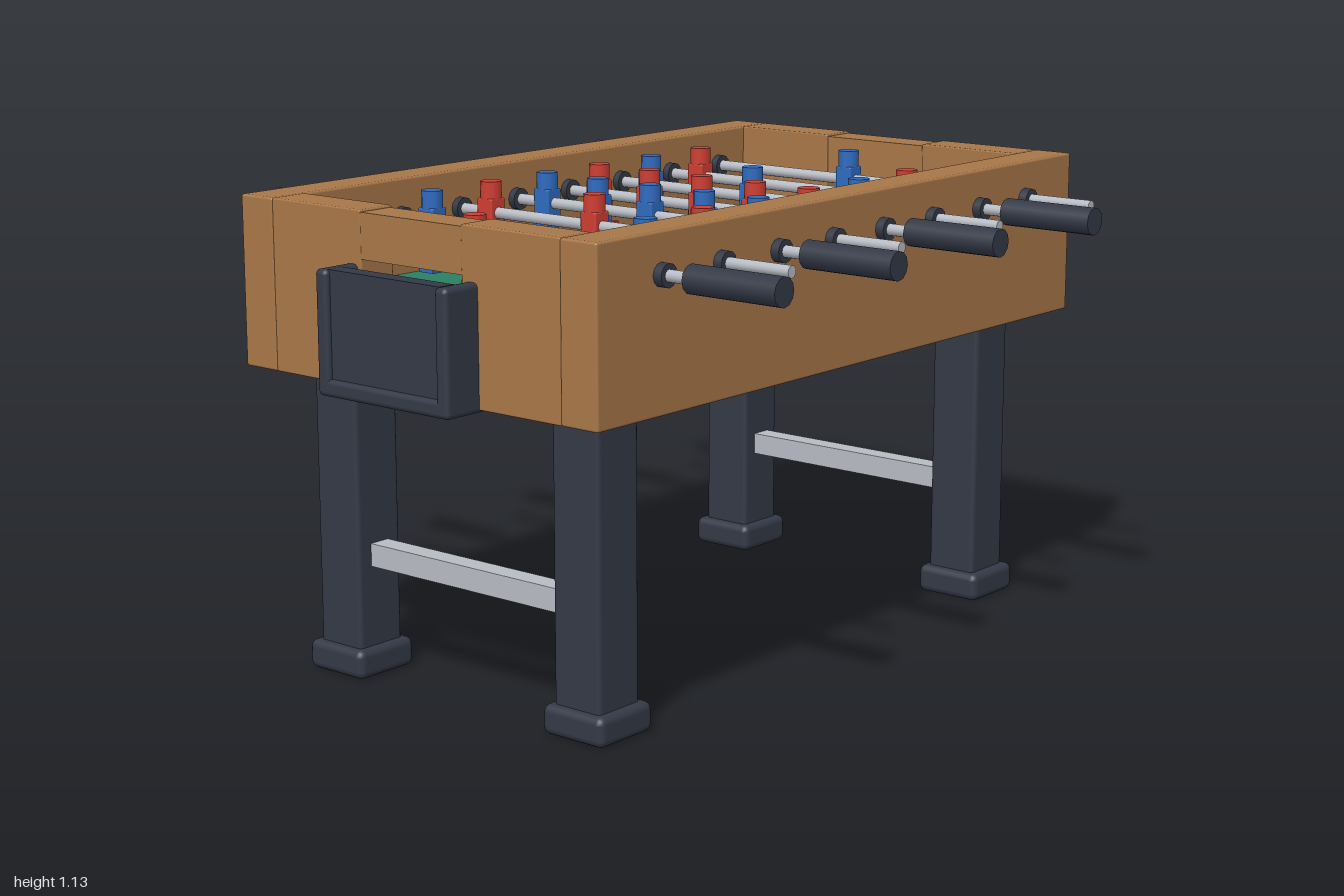
import * as THREE from 'three';
import { RoundedBoxGeometry } from 'three/addons/geometries/RoundedBoxGeometry.js';

const mat = (name, color) => Object.assign(new THREE.MeshStandardMaterial({ color }), { name });

export function createModel() {
  const wood = mat('wood', 0xa87748);
  const dark = mat('dark plastic', 0x333946);
  const steel = mat('steel', 0xb8bcc4);
  const green = mat('pitch green', 0x2c8062);
  const red = mat('team red', 0xd03e32);
  const blue = mat('team blue', 0x2f6bc0);
  const model = new THREE.Group();

  const add = (parent, name, geometry, material, x, y, z) => {
    const mesh = new THREE.Mesh(geometry, material);
    mesh.name = name;
    mesh.position.set(x, y, z);
    parent.add(mesh);
    return mesh;
  };
  // Box given by its limits on each axis, with optional rounded edges
  const box = (parent, name, material, [x0, x1], [y0, y1], [z0, z1], r = 0) => {
    const size = [x1 - x0, y1 - y0, z1 - z0];
    const geometry = r ? new RoundedBoxGeometry(...size, 2, r) : new THREE.BoxGeometry(...size);
    return add(parent, name, geometry, material, (x0 + x1) / 2, (y0 + y1) / 2, (z0 + z1) / 2);
  };
  // Cylinder lying along z
  const bar = (parent, name, material, r, z0, z1) => {
    const geometry = new THREE.CylinderGeometry(r, r, z1 - z0, 12).rotateX(Math.PI / 2);
    return add(parent, name, geometry, material, 0, 0, (z0 + z1) / 2);
  };
  const span = (s, a, b) => (s > 0 ? [a, b] : [-b, -a]);

  // Pitch
  box(model, 'pitch', green, [-0.81, 0.81], [0.815, 0.905], [-0.44, 0.44]);

  // Long side walls
  for (const s of [1, -1]) {
    box(model, 'sideWall', wood, [-0.905, 0.905], [0.735, 1.134], span(s, 0.435, 0.538), 0.006);
  }

  // End walls with goal openings, and the ball trays set into them
  for (const s of [1, -1]) {
    const end = new THREE.Group();
    end.name = 'goalEnd';
    model.add(end);
    for (const t of [1, -1]) {
      box(end, 'endWall', wood, span(s, 0.805, 0.903), [0.735, 1.134], span(t, 0.152, 0.437), 0.004);
      box(end, 'traySide', dark, span(s, 0.835, 1), [0.728, 1.012], span(t, 0.163, 0.2), 0.012);
    }
    box(end, 'goalLintel', wood, span(s, 0.81, 0.902), [1.024, 1.129], [-0.156, 0.156]);
    box(end, 'trayBase', dark, span(s, 0.835, 1), [0.728, 0.768], [-0.195, 0.195], 0.012);
    box(end, 'trayPanel', dark, span(s, 0.945, 0.988), [0.75, 1.012], [-0.17, 0.17]);
  }

  // Legs, feet and cross bars
  for (const s of [1, -1]) {
    for (const t of [1, -1]) {
      box(model, 'leg', dark, span(s, 0.655, 0.79), [0.03, 0.83], span(t, 0.303, 0.437), 0.012);
      box(model, 'foot', dark, span(s, 0.635, 0.81), [0, 0.07], span(t, 0.283, 0.46), 0.018);
    }
    box(model, 'crossBar', steel, span(s, 0.695, 0.75), [0.263, 0.318], [-0.31, 0.31]);
  }

  // Player figure hanging on a rod, foot pointing to +x
  const player = (parent, material, z) => {
    const figure = new THREE.Group();
    figure.name = 'player';
    figure.position.z = z;
    parent.add(figure);
    add(figure, 'head', new THREE.CylinderGeometry(0.026, 0.026, 0.045, 10), material, 0, 0.053, 0);
    box(figure, 'torso', material, [-0.024, 0.024], [-0.04, 0.035], [-0.024, 0.024], 0.004);
    box(figure, 'legs', material, [-0.02, 0.02], [-0.1, -0.03], [-0.02, 0.02]);
    box(figure, 'shoes', material, [-0.024, 0.046], [-0.118, -0.072], [-0.023, 0.023]);
  };

  // Rods: x position, team, player positions along z; handles alternate sides
  const two = [-0.33, 0.325], three = [-0.33, 0, 0.325], five = [-0.33, -0.165, 0, 0.165, 0.325];
  const rods = [
    [-0.7, red, [0]], [-0.5, blue, two], [-0.3, red, three], [-0.1, blue, five],
    [0.093, red, five], [0.293, blue, three], [0.493, red, two], [0.695, blue, [0]],
  ];
  rods.forEach(([x, team, places], i) => {
    const rod = new THREE.Group();
    rod.name = 'rod';
    rod.position.set(x, 1.041, 0);
    model.add(rod);
    const s = i % 2 ? -1 : 1;
    bar(rod, 'shaft', steel, 0.014, ...(s > 0 ? [-0.73, 0.63] : [-0.63, 0.73]));
    bar(rod, 'handle', dark, 0.033, ...span(s, 0.62, 0.863));
    for (const t of [1, -1]) bar(rod, 'bushing', dark, 0.027, ...span(t, 0.417, 0.56));
    places.forEach((z) => player(rod, team, z));
  });

  return model;
}
